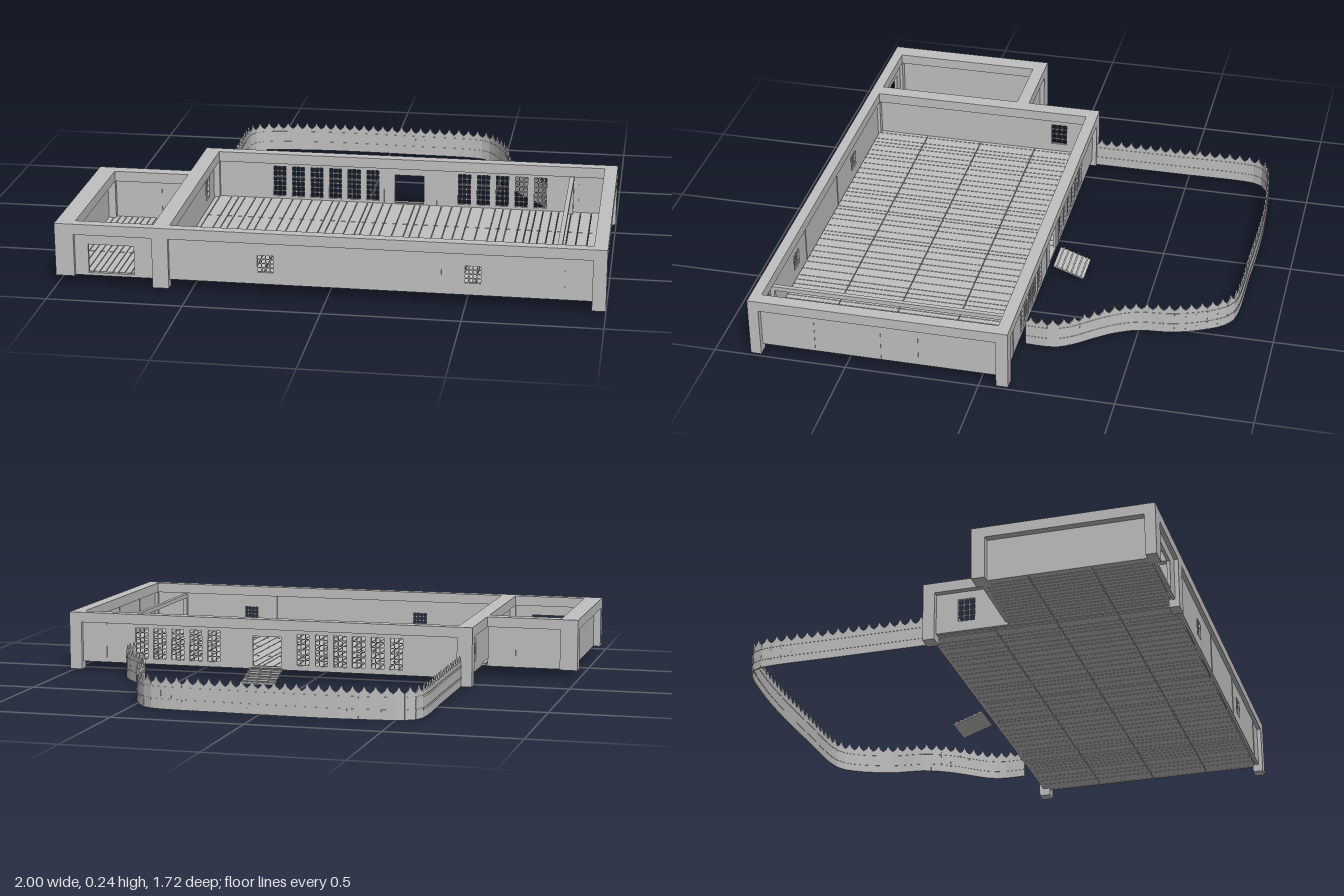
import * as THREE from 'three';

const gray = new THREE.MeshStandardMaterial({ color: 0xc0c0c0 });
gray.name = 'plain gray';

export function createModel() {
  const model = new THREE.Group();
  model.name = 'lodgeFloor';

  const group = (name) => {
    const g = new THREE.Group();
    g.name = name;
    model.add(g);
    return g;
  };
  const add = (parent, name, geometry) => {
    const m = new THREE.Mesh(geometry, gray);
    m.name = name;
    parent.add(m);
    return m;
  };
  // box given by its limits on each axis
  const box = (parent, name, x0, x1, y0, y1, z0, z1) => {
    const m = add(parent, name, new THREE.BoxGeometry(x1 - x0, y1 - y0, z1 - z0));
    m.position.set((x0 + x1) / 2, (y0 + y1) / 2, (z0 + z1) / 2);
    return m;
  };
  // wall along x or z, from a to b, with rectangular holes [u0, u1, y0, y1]
  const T = 0.012;
  const wall = (name, axis, a, b, at, holes = [], seams = []) => {
    const g = group(name);
    const rect = (P, u0, u1, y0, y1) =>
      new P([[u0, y0], [u1, y0], [u1, y1], [u0, y1]].map((p) => new THREE.Vector2(...p)));
    const shape = rect(THREE.Shape, a, b, 0.04, 0.205);
    shape.holes = holes.map((h) => rect(THREE.Path, ...h));
    const geo = new THREE.ExtrudeGeometry(shape, { depth: T, bevelEnabled: false });
    geo.translate(0, 0, -T / 2);
    if (axis === 'z') geo.rotateY(-Math.PI / 2);
    const m = add(g, 'panel', geo);
    if (axis === 'x') m.position.z = at; else m.position.x = at;
    // raised joints between the panels
    for (const s of seams) {
      const h = T / 2 + 0.002;
      if (axis === 'x') box(g, 'panelJoint', s - 0.002, s + 0.002, 0.042, 0.203, at - h, at + h);
      else box(g, 'panelJoint', at - h, at + h, 0.042, 0.203, s - 0.002, s + 0.002);
    }
    return g;
  };
  // crossed bars filling a wall opening
  const lattice = (parent, axis, at, [u0, u1, y0, y1], nu, ny) => {
    const r = 0.0018;
    const bar = (a, b, c, d) => (axis === 'x'
      ? box(parent, 'windowBar', a, b, c, d, at - r, at + r)
      : box(parent, 'windowBar', at - r, at + r, c, d, a, b));
    for (let i = 0; i <= nu; i++) {
      const u = u0 + ((u1 - u0) * i) / nu;
      bar(u - r, u + r, y0, y1);
    }
    for (let j = 0; j <= ny; j++) {
      const y = y0 + ((y1 - y0) * j) / ny;
      bar(u0, u1, y - r, y + r);
    }
  };

  // top beams
  const beams = group('topBeams');
  const B0 = 0.2, B1 = 0.24;
  box(beams, 'frontBeam', -1, 1, B0, B1, 0.82, 0.86);
  box(beams, 'backBeam', -0.64, 1, B0, B1, -0.11, -0.065);
  box(beams, 'leftBeam', 0.95, 1, B0, B1, -0.065, 0.82);
  box(beams, 'middleBeam', -0.64, -0.58, B0, B1, -0.065, 0.82);
  box(beams, 'annexSideBeam', -1, -0.93, B0, B1, 0.19, 0.82);
  box(beams, 'annexBackBeam', -0.93, -0.64, B0, B1, 0.19, 0.24);

  // corner posts
  const posts = group('cornerPosts');
  for (const [z0, z1] of [[0.82, 0.86], [-0.11, -0.065]]) {
    box(posts, 'post', 0.95, 1, 0.01, B0, z0, z1);
    box(posts, 'post', -0.64, -0.58, 0.01, B0, z0, z1);
  }
  box(posts, 'annexPost', -1, -0.93, 0.04, B0, 0.82, 0.86);
  box(posts, 'annexPost', -1, -0.93, 0.04, B0, 0.19, 0.24);

  // front wall with two barred windows
  const frontWindows = [[-0.255, -0.195, 0.085, 0.15], [0.495, 0.555, 0.085, 0.15]];
  const front = wall('frontWall', 'x', -0.58, 0.95, 0.838, frontWindows, [0, 0.41, 0.85]);
  frontWindows.forEach((w) => lattice(front, 'x', 0.838, w, 4, 4));

  // back wall with tall gratings on both sides of the doorway
  const gratings = [];
  for (let i = 0; i < 6; i++) gratings.push([-0.365 + i * 0.075, -0.313 + i * 0.075, 0.06, 0.185]);
  for (let i = 0; i < 5; i++) gratings.push([0.375 + i * 0.075, 0.427 + i * 0.075, 0.06, 0.185]);
  const door = [0.125, 0.24, 0.052, 0.17];
  const back = wall('backWall', 'x', -0.58, 0.95, -0.087, [...gratings, door], [0.08, 0.29, 0.85]);
  gratings.forEach((w) => lattice(back, 'x', -0.087, w, 3, 6));

  // side walls and partition
  wall('leftWall', 'z', -0.065, 0.82, 0.97, [], [0.23, 0.37, 0.62]);
  const sideWindow = [0.02, 0.085, 0.08, 0.17];
  const partition = wall('partitionWall', 'z', -0.065, 0.82, -0.61, [sideWindow]);
  lattice(partition, 'z', -0.61, sideWindow, 3, 4);

  // annex walls, the front one with a wide opening
  wall('annexFrontWall', 'x', -0.93, -0.64, 0.838, [[-0.88, -0.71, 0.05, 0.16]]);
  wall('annexBackWall', 'x', -0.93, -0.64, 0.215, [], [-0.75]);
  wall('annexSideWall', 'z', 0.24, 0.82, -0.965);

  // plank floors in rows, with uneven plank widths
  let seed = 7;
  const random = () => (seed = (seed * 16807) % 2147483647) / 2147483647;
  const planks = (name, x0, x1, rows, w, vary) => {
    const g = group(name);
    for (let x = x0; x < x1 - 0.001;) {
      let end = x + w * (1 - vary / 2 + vary * random());
      if (x1 - end < w * 0.5) end = x1;
      for (let r = 0; r < rows.length - 1; r++) {
        box(g, 'plank', x, end - 0.0025, 0.04, 0.05, rows[r], rows[r + 1] - 0.0025);
      }
      x = end;
    }
  };
  planks('mainFloor', -0.6, 0.965, [-0.085, 0.157, 0.39, 0.62, 0.83], 0.035, 0.9);
  planks('annexFloor', -0.96, -0.61, [0.215, 0.39, 0.62, 0.83], 0.024, 0.2);

  // inner rail across the hall
  const rail = group('innerRail');
  box(rail, 'railBeam', 0.815, 0.832, 0.18, 0.197, -0.085, 0.835);
  for (const z of [-0.07, 0.815]) box(rail, 'railPost', 0.815, 0.832, 0.05, 0.18, z, z + 0.015);

  // sloping entrance ramp with cross slats
  const ramp = group('entranceRamp');
  const slope = Math.atan2(0.042, 0.12);
  const deck = add(ramp, 'rampDeck', new THREE.BoxGeometry(0.135, 0.006, 0.127));
  for (let i = 0; i < 6; i++) {
    const slat = add(deck, 'rampSlat', new THREE.BoxGeometry(0.135, 0.004, 0.006));
    slat.position.set(0, 0.005, -0.05 + i * 0.02);
  }
  deck.rotation.x = -slope;
  deck.position.set(0.18, 0.0245, -0.17);

  // palisade fence around the yard
  const fence = group('fence');
  const path = new THREE.CatmullRomCurve3([
    [-0.595, -0.11], [-0.595, -0.45], [-0.595, -0.74], [-0.583, -0.795], [-0.54, -0.828],
    [-0.4, -0.85], [-0.2, -0.86], [0.1, -0.853], [0.41, -0.832], [0.46, -0.785], [0.5, -0.71],
    [0.53, -0.62], [0.545, -0.5], [0.58, -0.42], [0.63, -0.35], [0.695, -0.27],
    [0.72, -0.21], [0.72, -0.11],
  ].map(([x, z]) => new THREE.Vector3(x, 0, z)));
  const count = Math.round(path.getLength() / 0.041);
  const pts = path.getSpacedPoints(count);
  for (let i = 0; i < count; i++) {
    const a = pts[i], b = pts[i + 1];
    const w = a.distanceTo(b) / 2;
    const picket = new THREE.Group();
    picket.name = 'picket';
    const shape = new THREE.Shape([
      [-w, 0.01], [w, 0.01], [w, 0.105], [w * 0.4, 0.115], [0, 0.132], [-w * 0.4, 0.115], [-w, 0.105],
    ].map((p) => new THREE.Vector2(...p)));
    const geo = new THREE.ExtrudeGeometry(shape, { depth: 0.005, bevelEnabled: false });
    geo.translate(0, 0, -0.0025);
    add(picket, 'board', geo);
    for (const y of [0.04, 0.085]) box(picket, 'crossRail', -w, w, y, y + 0.008, -0.004, 0.004);
    picket.position.copy(a).add(b).multiplyScalar(0.5);
    picket.rotation.y = -Math.atan2(b.z - a.z, b.x - a.x);
    fence.add(picket);
  }

  return model;
}
